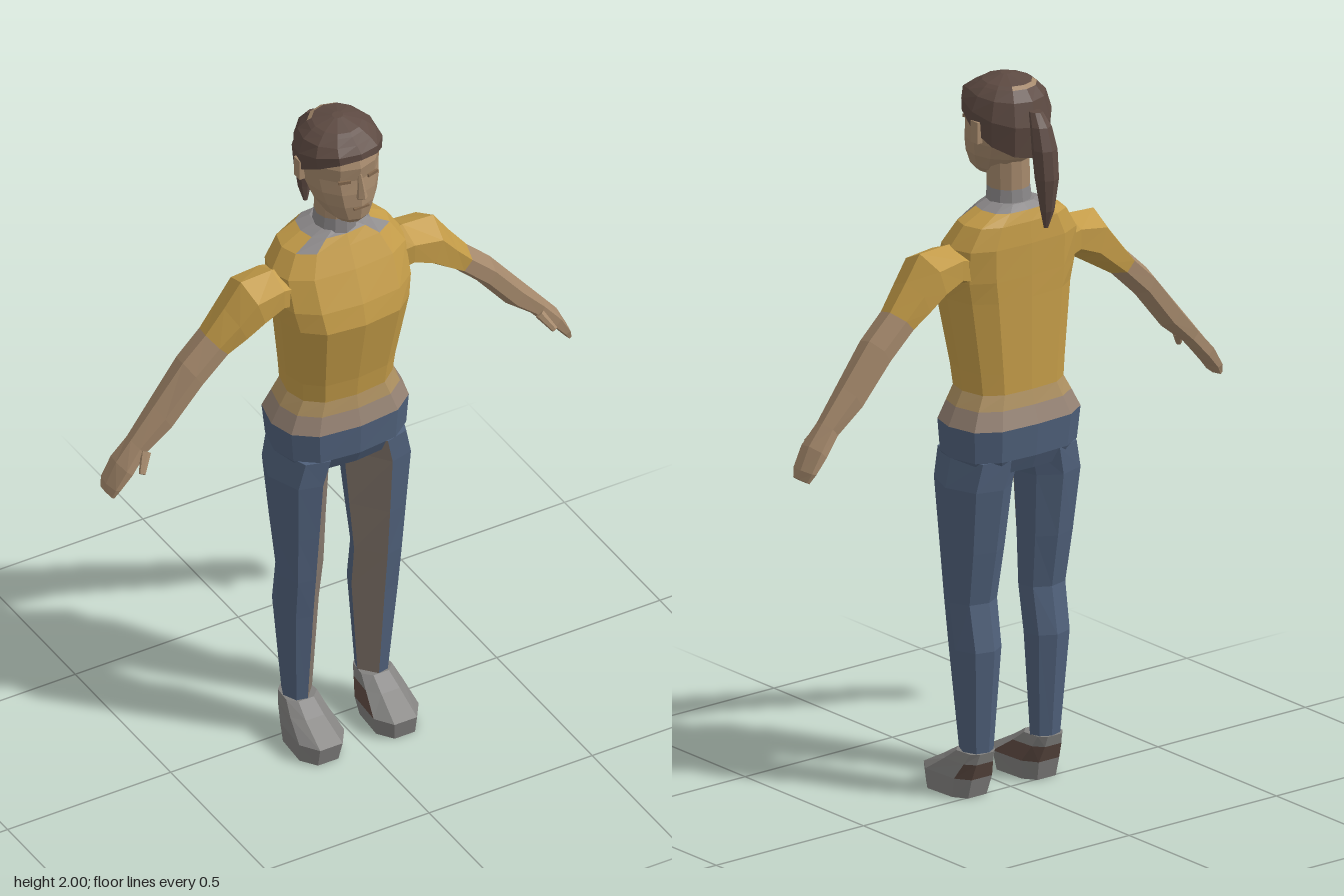
import * as THREE from 'three';

const paint = (name, color) => {
  const m = new THREE.MeshStandardMaterial({ color });
  m.name = name;
  return m;
};

// Cross-section templates, [u, v] in -1..1, running from the front round to +x
const polygon = (n, offset = 0) => Array.from({ length: n }, (_, i) => {
  const a = ((i + offset) / n) * Math.PI * 2;
  return [Math.sin(a), Math.cos(a)];
});
const mirrorHalf = (half) => [...half, ...half.slice(1, -1).reverse().map(([u, v]) => [-u, v])];
const TORSO = mirrorHalf([[0, 1], [0.6, 0.9], [0.9, 0.55], [1, 0], [0.9, -0.65], [0.58, -0.95], [0, -1]]);
const LEG = [[-0.1, 1], [0.6, 0.85], [1, 0], [0.65, -0.8], [-0.15, -1], [-0.8, -0.65], [-1, 0]];
const SHOE = [[-0.5, 1], [0.5, 1], [1, 0.5], [0.9, -0.6], [0.5, -1], [-0.5, -1], [-0.9, -0.6], [-1, 0.5]];
const HEAD = polygon(12);

// Horizontal ring; tilt raises its front and lowers its back
const ring = (shape, y, x0, x1, zb, zf, tilt = 0) => shape.map(([u, v]) => [
  (x0 + x1) / 2 + (u * (x1 - x0)) / 2, y + v * tilt, (zb + zf) / 2 + (v * (zf - zb)) / 2]);

// Skin a list of rings with flat faces; pick(row, column) chooses the material, side -1 mirrors
function loft(name, rings, pick, side = 1) {
  const faces = new Map();
  const add = (mat, ...pts) => {
    if (!faces.has(mat)) faces.set(mat, []);
    if (side < 0) pts.reverse();
    pts.forEach(([x, y, z]) => faces.get(mat).push(x * side, y, z));
  };
  const n = rings[0].length;
  const last = rings.length - 1;
  const middle = (r) => [0, 1, 2].map((k) => r.reduce((s, p) => s + p[k], 0) / n);
  for (let j = 0; j < n; j++) {
    const k = (j + 1) % n;
    for (let i = 0; i < last; i++) {
      const [a, b, c, d] = [rings[i][j], rings[i][k], rings[i + 1][k], rings[i + 1][j]];
      add(pick(i, j), a, b, c);
      add(pick(i, j), a, c, d);
    }
    add(pick(0, 0), middle(rings[0]), rings[0][k], rings[0][j]);
    add(pick(last - 1, 0), middle(rings[last]), rings[last][j], rings[last][k]);
  }
  const geo = new THREE.BufferGeometry();
  const data = [];
  [...faces.values()].forEach((list, i) => {
    geo.addGroup(data.length / 3, list.length / 3, i);
    for (const v of list) data.push(v);
  });
  geo.setAttribute('position', new THREE.Float32BufferAttribute(data, 3));
  geo.computeVertexNormals();
  const mesh = new THREE.Mesh(geo, [...faces.keys()]);
  mesh.name = name;
  return mesh;
}

function solid(name, geo, mat, x, y, z) {
  const flat = geo.toNonIndexed();
  flat.computeVertexNormals();
  const mesh = new THREE.Mesh(flat, mat);
  mesh.name = name;
  mesh.position.set(x, y, z);
  return mesh;
}

export function createModel() {
  const model = new THREE.Group();
  model.name = 'woman';
  const shirt = paint('shirt yellow', 0xc49c48);
  const jeans = paint('jeans blue', 0x50617b);
  const skin = paint('skin', 0xa5896c);
  const hair = paint('hair brown', 0x5d4a42);
  const grey = paint('collar grey', 0x8a8788);
  const waist = paint('waist taupe', 0x958273);
  const hem = paint('shirt hem', 0xad9060);
  const inner = paint('inner leg', 0x85786d);
  const shoe = paint('shoe grey', 0x82817f);
  const feature = paint('face shade', 0x84694f);

  // Shirt with the waistband blend below and collar patches above
  const sym = (shape) => ([y, rx, zf, zb, tilt]) => ring(shape, y, -rx, rx, zb, zf, tilt);
  const torso = [
    [1.05, 0.2, 0.145, -0.117], [1.1, 0.175, 0.13, -0.1], [1.14, 0.152, 0.122, -0.09],
    [1.2, 0.158, 0.13, -0.09], [1.4, 0.185, 0.17, -0.09], [1.46, 0.198, 0.155, -0.09],
    [1.55, 0.2, 0.115, -0.09], [1.61, 0.16, 0.085, -0.085], [1.64, 0.1, 0.07, -0.075],
    [1.655, 0.06, 0.06, -0.055],
  ].map(sym(TORSO));
  model.add(loft('torso', torso, (i, j) => {
    if (i < 2) return [waist, hem][i];
    if (i === 8) return grey;
    return i === 7 && (j === 1 || j === 10) ? grey : shirt;
  }));

  // Hips
  model.add(loft('hips', [
    [0.92, 0.17, 0.12, -0.09], [0.96, 0.192, 0.14, -0.108], [1.05, 0.2, 0.145, -0.117],
  ].map(sym(TORSO)), () => jeans));

  // Neck and head
  model.add(loft('neck', [
    [1.63, 0.065, 0.07, -0.055], [1.69, 0.058, 0.068, -0.048], [1.8, 0.058, 0.07, -0.045],
  ].map(sym(HEAD)), (i) => (i ? skin : grey)));
  model.add(loft('head', [
    [1.715, 0.04, 0.125, 0.03], [1.735, 0.062, 0.142, -0.01], [1.78, 0.088, 0.148, -0.06],
    [1.82, 0.1, 0.146, -0.085], [1.86, 0.105, 0.138, -0.095], [1.9, 0.106, 0.143, -0.1],
    [1.95, 0.09, 0.125, -0.085], [1.975, 0.05, 0.08, -0.05],
  ].map(sym(HEAD)), () => skin));
  model.add(loft('nose', [
    [1.8, 0.012, 0.148, 0.12], [1.812, 0.016, 0.166, 0.12], [1.835, 0.011, 0.16, 0.12], [1.88, 0.006, 0.143, 0.12],
  ].map(sym(polygon(6))), () => skin));
  model.add(solid('mouth', new THREE.BoxGeometry(0.045, 0.006, 0.008), feature, 0, 1.775, 0.144));

  // Hair cap with a hairline falling to the nape, and a small parting at the crown
  model.add(loft('hair', [
    [1.862, 0.113, 0.148, -0.104, 0.07], [1.915, 0.118, 0.146, -0.11, 0.035],
    [1.955, 0.102, 0.122, -0.092, 0.008], [1.976, 0.078, 0.098, -0.068],
    [1.984, 0.066, 0.086, -0.055], [2, 0.015, 0.035, 0.005],
  ].map(sym(HEAD)), (i, j) => (i === 3 && j > 4 && j < 8 ? skin : hair)));
  model.add(loft('ponytail', [
    [1.61, 0.006, -0.143, -0.155], [1.66, 0.02, -0.137, -0.172], [1.75, 0.034, -0.122, -0.183],
    [1.83, 0.036, -0.11, -0.176], [1.89, 0.03, -0.1, -0.155], [1.925, 0.018, -0.085, -0.125],
  ].map(sym(polygon(8))), () => hair));

  // Arm sections: upper point x, y, lower point x, y, back z, front z
  const arm = [
    [0.15, 1.55, 0.15, 1.43, -0.05, 0.075], [0.2, 1.56, 0.2, 1.45, -0.05, 0.085],
    [0.295, 1.555, 0.25, 1.42, -0.055, 0.09], [0.345, 1.485, 0.3, 1.39, -0.05, 0.08],
    [0.4, 1.415, 0.35, 1.36, -0.042, 0.066], [0.47, 1.35, 0.43, 1.285, -0.04, 0.065],
    [0.56, 1.24, 0.52, 1.175, -0.033, 0.058], [0.63, 1.155, 0.595, 1.115, -0.022, 0.047],
    [0.675, 1.1, 0.64, 1.065, -0.03, 0.055], [0.705, 1.04, 0.675, 1.03, -0.028, 0.05],
    [0.708, 1.015, 0.695, 1.005, -0.018, 0.042],
  ].map(([tx, ty, bx, by, zb, zf]) => polygon(6).map(([s, c]) => [
    (tx + bx) / 2 + (c * (tx - bx)) / 2, (ty + by) / 2 + (c * (ty - by)) / 2,
    (zb + zf) / 2 + (s * (zf - zb)) / 1.732]));

  // Leg and shoe sections: height, inner x, outer x, back z, front z
  const leg = [
    [0.12, 0.07, 0.157, -0.04, 0.05], [0.42, 0.05, 0.183, -0.065, 0.08], [0.55, 0.047, 0.187, -0.042, 0.095],
    [0.7, 0.036, 0.197, -0.07, 0.11], [0.88, 0.022, 0.21, -0.097, 0.127], [0.96, 0.002, 0.192, -0.105, 0.135],
  ].map((s) => ring(LEG, ...s));
  const foot = [
    [0, 0.055, 0.18, -0.005, 0.172], [0.055, 0.045, 0.183, -0.02, 0.183],
    [0.1, 0.06, 0.172, -0.035, 0.1], [0.13, 0.068, 0.162, -0.043, 0.052],
  ].map((s) => ring(SHOE, ...s));

  for (const side of [1, -1]) {
    const tag = side > 0 ? 'left' : 'right';
    model.add(loft(tag + 'Arm', arm, (i) => (i < 4 ? shirt : skin), side));
    model.add(loft(tag + 'Leg', leg, (i, j) => (j === 6 ? inner : jeans), side));
    model.add(loft(tag + 'Shoe', foot, (i, j) => (i === 1 && j > 2 && j < 7 ? hair : shoe), side));
    model.add(solid(tag + 'Ear', new THREE.BoxGeometry(0.016, 0.06, 0.03), skin, side * 0.11, 1.86, 0.008));
    const thumb = solid(tag + 'Thumb', new THREE.CylinderGeometry(0.014, 0.009, 0.06, 6), skin, side * 0.618, 1.108, 0.062);
    thumb.rotation.set(-0.6, 0, side * 0.5);
    model.add(thumb);
    const eye = solid(tag + 'Eye', new THREE.BoxGeometry(0.034, 0.009, 0.006), feature, side * 0.043, 1.862, 0.13);
    eye.rotation.y = side * 0.27;
    model.add(eye);
  }
  return model;
}
